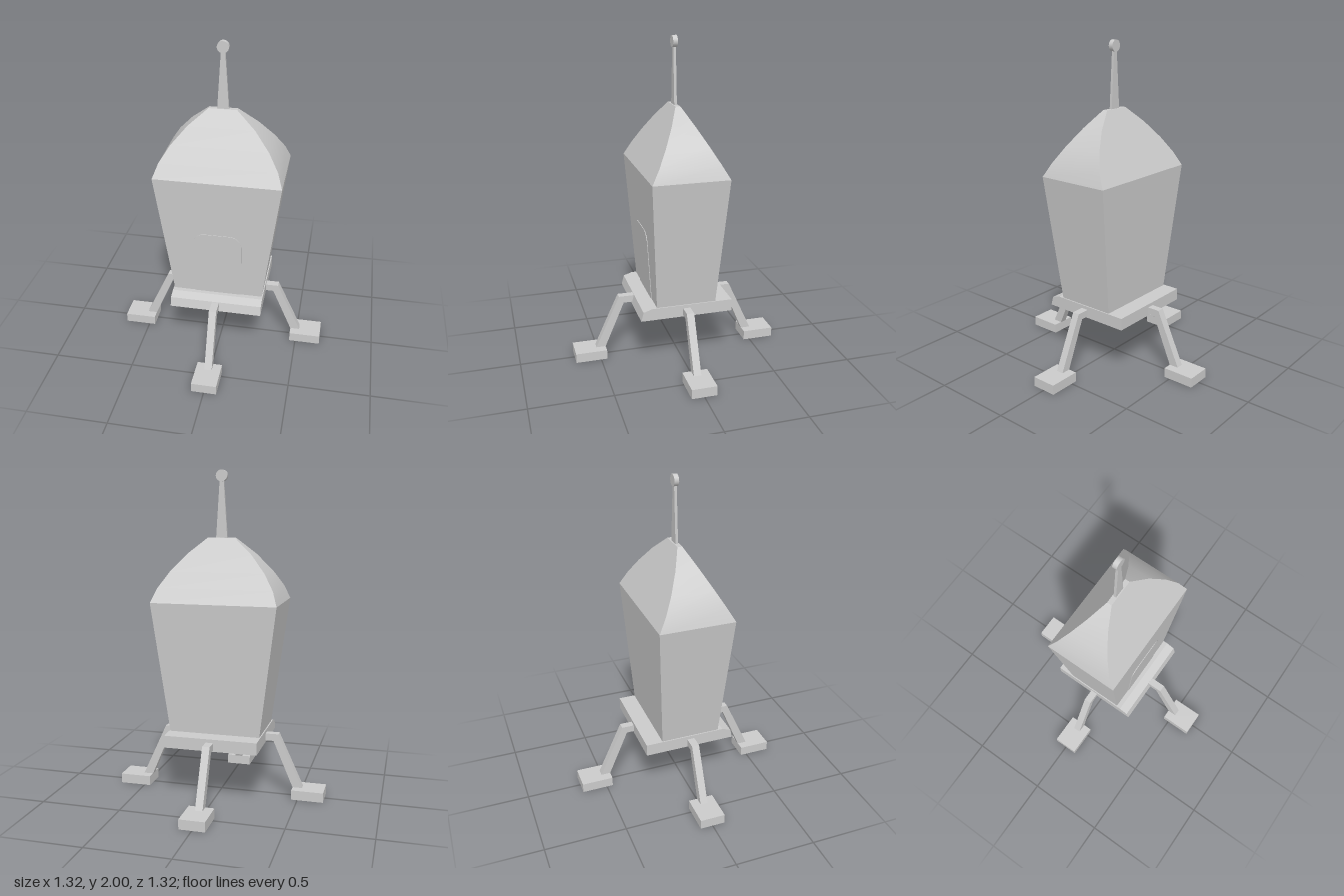
import * as THREE from 'three';
import { toCreasedNormals } from 'three/addons/utils/BufferGeometryUtils.js';

const material = new THREE.MeshStandardMaterial({ color: 0xcccccc });

function add(parent, name, geometry) {
  const mesh = new THREE.Mesh(geometry, material);
  mesh.name = name;
  parent.add(mesh);
  return mesh;
}

// Closed solid through rectangular levels [y, halfWidth, halfDepth], bottom to top.
function loft(levels) {
  const positions = [];
  const index = [];
  for (const [y, hx, hz] of levels) {
    positions.push(-hx, y, hz, hx, y, hz, hx, y, -hz, -hx, y, -hz);
  }
  for (let i = 0; i < levels.length - 1; i++) {
    for (let j = 0; j < 4; j++) {
      const a = i * 4 + j;
      const b = i * 4 + (j + 1) % 4;
      index.push(a, b, b + 4, a, b + 4, a + 4);
    }
  }
  const t = (levels.length - 1) * 4;
  index.push(0, 2, 1, 0, 3, 2, t, t + 1, t + 2, t, t + 2, t + 3);
  const geometry = new THREE.BufferGeometry();
  geometry.setAttribute('position', new THREE.Float32BufferAttribute(positions, 3));
  geometry.setIndex(index);
  return toCreasedNormals(geometry, 0.45);
}

// Outline in the XY plane, extruded and centred along z.
function slab(points, depth) {
  const shape = new THREE.Shape(points.map(([x, y]) => new THREE.Vector2(x, y)));
  return new THREE.ExtrudeGeometry(shape, { depth, bevelEnabled: false })
    .translate(0, 0, -depth / 2);
}

export function createModel() {
  const model = new THREE.Group();
  model.name = 'landerCapsule';

  // Flared cabin and curved hipped roof
  const bottom = 0.41, eave = 1.215, ridge = 1.597;
  add(model, 'cabin', loft([[bottom, 0.28, 0.185], [eave, 0.385, 0.233]]));
  const roofProfile = [[eave, 0.385], [1.3, 0.353], [1.395, 0.292], [1.5, 0.2], [ridge, 0.085]];
  add(model, 'roof', loft(roofProfile.map(([y, hx]) =>
    [y, hx, THREE.MathUtils.mapLinear(y, eave, ridge, 0.233, 0.015)])));

  // Door panel lying on the sloped front wall
  const w = 0.15, h = 0.44, r = 0.075;
  const doorShape = new THREE.Shape();
  doorShape.moveTo(-w, 0);
  doorShape.lineTo(w, 0);
  doorShape.lineTo(w, h - r);
  doorShape.absarc(w - r, h - r, r, 0, Math.PI / 2);
  doorShape.absarc(-w + r, h - r, r, Math.PI / 2, Math.PI);
  doorShape.closePath();
  const door = add(model, 'door', new THREE.ExtrudeGeometry(doorShape,
    { depth: 0.01, bevelEnabled: false, curveSegments: 6 }));
  door.position.set(0, 0.415, 0.179);
  door.rotation.x = Math.atan2(0.048, eave - bottom);

  // Base plate with a sloping front sill
  const plate = [[-0.285, 0.34], [0.29, 0.34], [0.29, 0.415], [-0.215, 0.415], [-0.27, 0.397]];
  add(model, 'basePlate', slab(plate, 0.575).rotateY(Math.PI / 2));

  // Four bent legs with square feet
  const strut = [[0.25, 0.35], [0.337, 0.35], [0.465, 0.05], [0.525, 0.05],
    [0.367, 0.394], [0.25, 0.394]];
  for (let i = 0; i < 4; i++) {
    const leg = new THREE.Group();
    leg.name = 'leg' + (i + 1);
    add(leg, 'strut', slab(strut, 0.046));
    add(leg, 'foot', new THREE.BoxGeometry(0.197, 0.06, 0.156)).position.set(0.56, 0.03, 0);
    // Feet under front and back keep the same footprint along the leg
    leg.rotation.y = i * Math.PI / 2;
    model.add(leg);
  }

  // Tapered mast with a round disc on top
  add(model, 'mast', loft([[1.59, 0.035, 0.008], [1.945, 0.012, 0.008]]));
  const disc = new THREE.CylinderGeometry(0.035, 0.035, 0.028, 20).rotateX(Math.PI / 2);
  add(model, 'mastDisc', disc).position.y = 1.965;

  return model;
}
